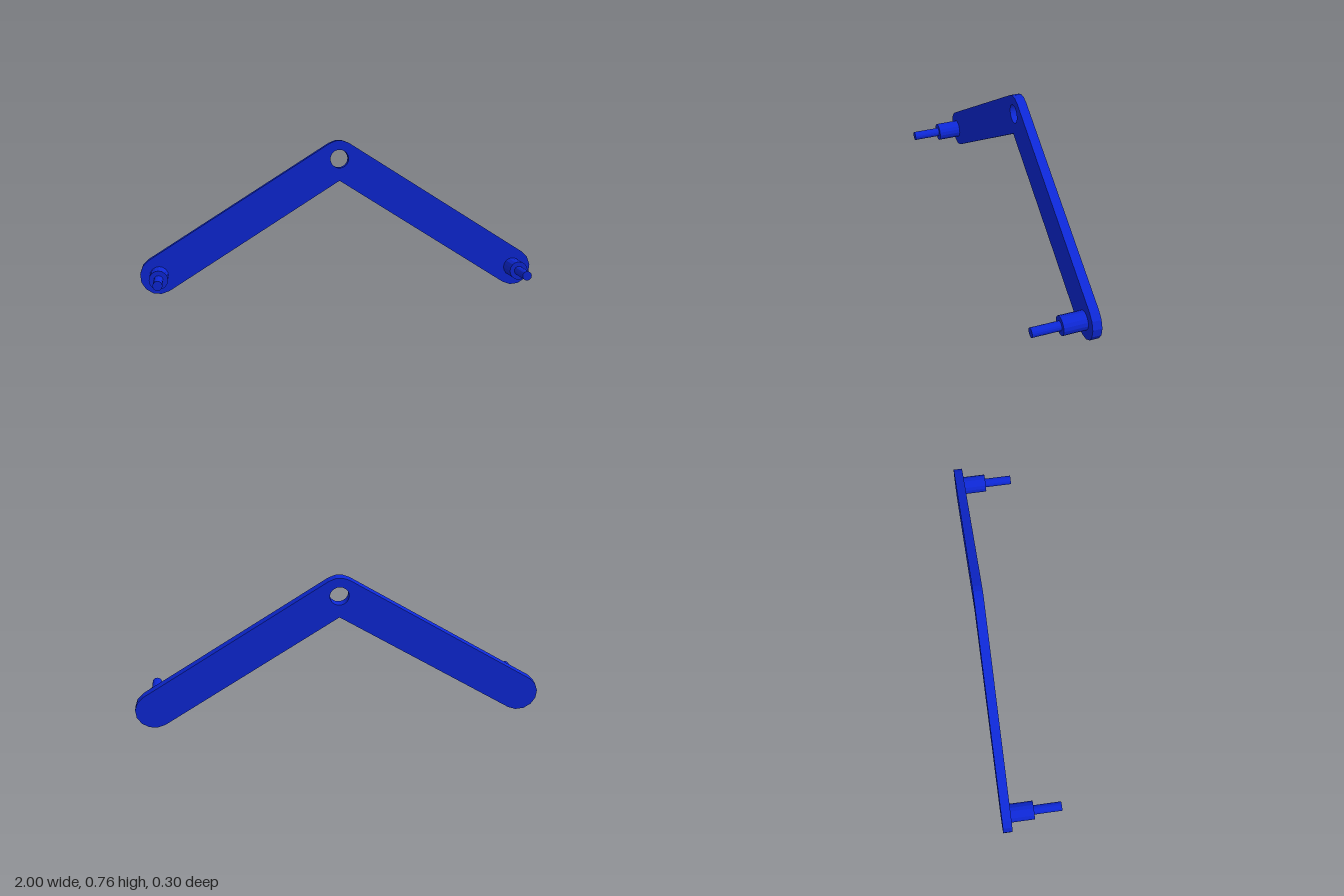
import * as THREE from 'three';

const R = 0.093;                 // half width of the arms
const END = { x: 0.907, y: 0.0935 };
const APEX_Y = 0.666;
const BACK = -0.151, FACE = -0.105;

export function createModel() {
  const group = new THREE.Group();
  const material = new THREE.MeshStandardMaterial({ color: 0x0d28d8, flatShading: true });

  // V-shaped plate: rounded ends, rounded apex, sharp inner corner
  const slope = Math.atan2(APEX_Y - END.y, END.x);
  const normal = Math.PI / 2 - slope;
  const outline = [];
  const arc = (cx, cy, from, to, steps) => {
    for (let i = 0; i <= steps; i++) {
      const a = from + (to - from) * i / steps;
      outline.push(new THREE.Vector2(cx + R * Math.cos(a), cy + R * Math.sin(a)));
    }
  };
  arc(END.x, END.y, normal - Math.PI, normal, 7);
  arc(0, APEX_Y, normal, Math.PI - normal, 3);
  arc(-END.x, END.y, Math.PI - normal, 2 * Math.PI - normal, 7);
  outline.push(new THREE.Vector2(0, APEX_Y - R / Math.cos(slope)));

  const shape = new THREE.Shape(outline);
  shape.holes.push(new THREE.Path().absarc(0, APEX_Y, 0.046, 0, Math.PI * 2, true));
  const plateGeometry = new THREE.ExtrudeGeometry(shape, {
    depth: FACE - BACK, bevelEnabled: false, curveSegments: 16,
  });
  plateGeometry.translate(0, 0, BACK);
  const plate = new THREE.Mesh(plateGeometry, material);
  plate.name = 'armPlate';
  group.add(plate);

  // Stepped pins at both ends
  const addRod = (name, x, radius, z0, z1) => {
    const geometry = new THREE.CylinderGeometry(radius, radius, z1 - z0, 16);
    geometry.rotateX(Math.PI / 2);
    const rod = new THREE.Mesh(geometry, material);
    rod.position.set(x, END.y, (z0 + z1) / 2);
    rod.name = name;
    group.add(rod);
  };
  for (const [side, sign] of [['left', 1], ['right', -1]]) {
    addRod(side + 'PinCollar', sign * END.x, 0.0465, FACE, 0.012);
    addRod(side + 'PinTip', sign * END.x, 0.0233, 0.012, 0.152);
  }
  return group;
}
